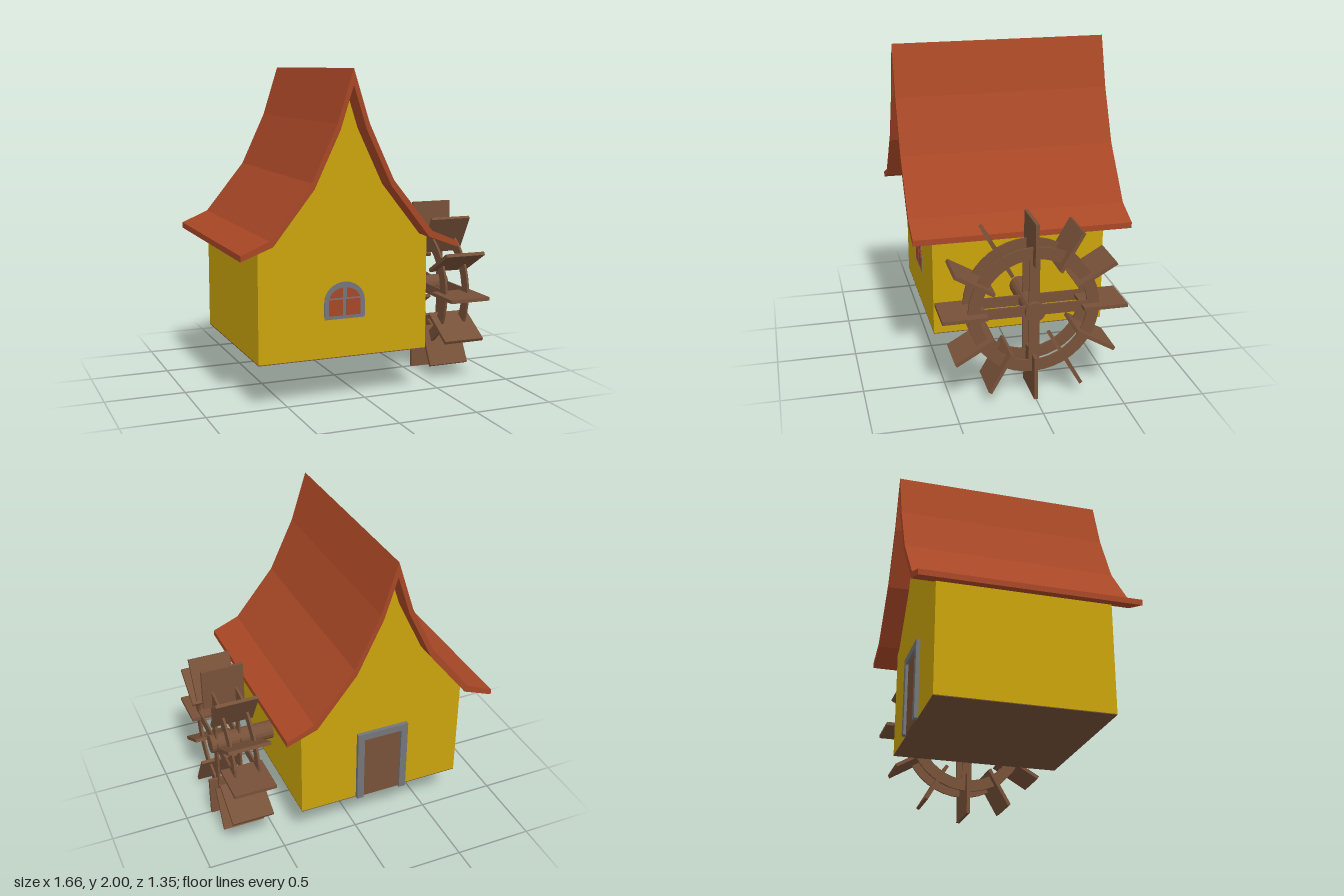
import * as THREE from 'three';

const mat = (name, color) => {
  const m = new THREE.MeshStandardMaterial({ color, flatShading: true });
  m.name = name;
  return m;
};

export function createModel() {
  const ochre = mat('ochre plaster', 0xcaa40c);
  const tile = mat('red roof tile', 0xa84726);
  const wood = mat('brown wood', 0x775139);
  const stone = mat('grey stone', 0x747579);

  const model = new THREE.Group();
  model.name = 'watermill';

  const add = (parent, name, geometry, material, x = 0, y = 0, z = 0) => {
    const mesh = new THREE.Mesh(geometry, material);
    mesh.name = name;
    mesh.position.set(x, y, z);
    parent.add(mesh);
    return mesh;
  };
  const box = (parent, name, w, h, d, material, x, y, z) =>
    add(parent, name, new THREE.BoxGeometry(w, h, d), material, x, y, z);
  const shapeOf = (pts) => new THREE.Shape(pts.map(([x, y]) => new THREE.Vector2(x, y)));
  // extrusion centred on its own depth
  const slab = (shape, depth, curveSegments = 12) =>
    new THREE.ExtrudeGeometry(shape, { depth, bevelEnabled: false, curveSegments }).translate(0, 0, -depth / 2);
  const mirrored = (pts) => pts.map(([x, y]) => [-x, y]);

  // House, with its own x axis through the ridge
  const house = new THREE.Group();
  house.name = 'house';
  house.position.x = -0.15;
  model.add(house);

  // Swept roof: half profiles from ridge to eave
  const outer = [[0, 2], [0.1, 1.685], [0.255, 1.355], [0.51, 1.04], [0.682, 0.968]];
  const inner = [[0, 1.905], [0.08, 1.655], [0.24, 1.32], [0.49, 1.005], [0.682, 0.932]];
  const roofShape = shapeOf([
    ...mirrored(outer).reverse(), ...outer.slice(1),
    ...[...inner].reverse(), ...mirrored(inner).slice(1),
  ]);
  add(house, 'roof', slab(roofShape, 1.35), tile);

  // Walls and gables follow the underside of the roof
  const gable = [...inner.slice(0, 4), [0.54, 0.985], [0.54, 0.287]];
  const wallShape = shapeOf([...mirrored(gable).reverse(), ...gable.slice(1)]);
  add(house, 'walls', slab(wallShape, 1.08), ochre);
  box(house, 'floor', 1.08, 0.005, 1.08, wood, 0, 0.2845, 0);

  // Arched window on the front
  const arch = (half, bottom, spring, radius) => {
    const s = new THREE.Shape();
    s.moveTo(-half, bottom);
    s.lineTo(half, bottom);
    s.lineTo(half, spring);
    s.absellipse(0, spring, half, radius, 0, Math.PI, false);
    s.lineTo(-half, bottom);
    return s;
  };
  add(house, 'windowFrame', slab(arch(0.13, 0.52, 0.625, 0.12), 0.004), stone, 0, 0, 0.542);
  for (const side of [-1, 1]) {
    box(house, 'lowerPane', 0.09, 0.098, 0.003, tile, side * 0.057, 0.59, 0.545);
    const upper = new THREE.Shape();
    upper.moveTo(side * 0.014, 0.65);
    upper.lineTo(side * 0.098, 0.65);
    upper.quadraticCurveTo(side * 0.08, 0.7, side * 0.014, 0.71);
    add(house, 'upperPane', slab(upper, 0.003, 6), tile, 0, 0, 0.545);
  }

  // Door on the back
  for (const side of [-1, 1])
    box(house, 'doorJamb', 0.045, 0.5, 0.03, stone, side * 0.148, 0.533, -0.55);
  box(house, 'doorLintel', 0.251, 0.045, 0.03, stone, 0, 0.7605, -0.55);
  box(house, 'door', 0.251, 0.455, 0.012, wood, 0, 0.5105, -0.542);

  // Water wheel, turning about x
  const wheel = new THREE.Group();
  wheel.name = 'waterWheel';
  wheel.position.set(0, 0.56, 0);
  model.add(wheel);

  add(wheel, 'axle', new THREE.CylinderGeometry(0.06, 0.06, 0.42, 16).rotateZ(Math.PI / 2), wood, 0.595);

  const rim = new THREE.Shape().absarc(0, 0, 0.4, 0, Math.PI * 2);
  rim.holes.push(new THREE.Path().absarc(0, 0, 0.325, 0, Math.PI * 2, true));
  const rimGeometry = slab(rim, 0.014, 20).rotateY(Math.PI / 2);
  for (const x of [0.611, 0.766]) {
    add(wheel, 'rim', rimGeometry, wood, x);
    box(wheel, 'uprightSpoke', 0.012, 0.68, 0.065, wood, x, 0, 0);
    box(wheel, 'levelSpoke', 0.012, 0.065, 0.68, wood, x, 0, 0);
  }

  // Twelve radial paddles
  const paddle = new THREE.BoxGeometry(0.27, 0.27, 0.022).translate(0, 0.425, 0);
  for (let i = 0; i < 12; i++)
    add(wheel, 'paddle', paddle, wood, 0.695).rotation.x = (i * Math.PI) / 6;

  return model;
}
